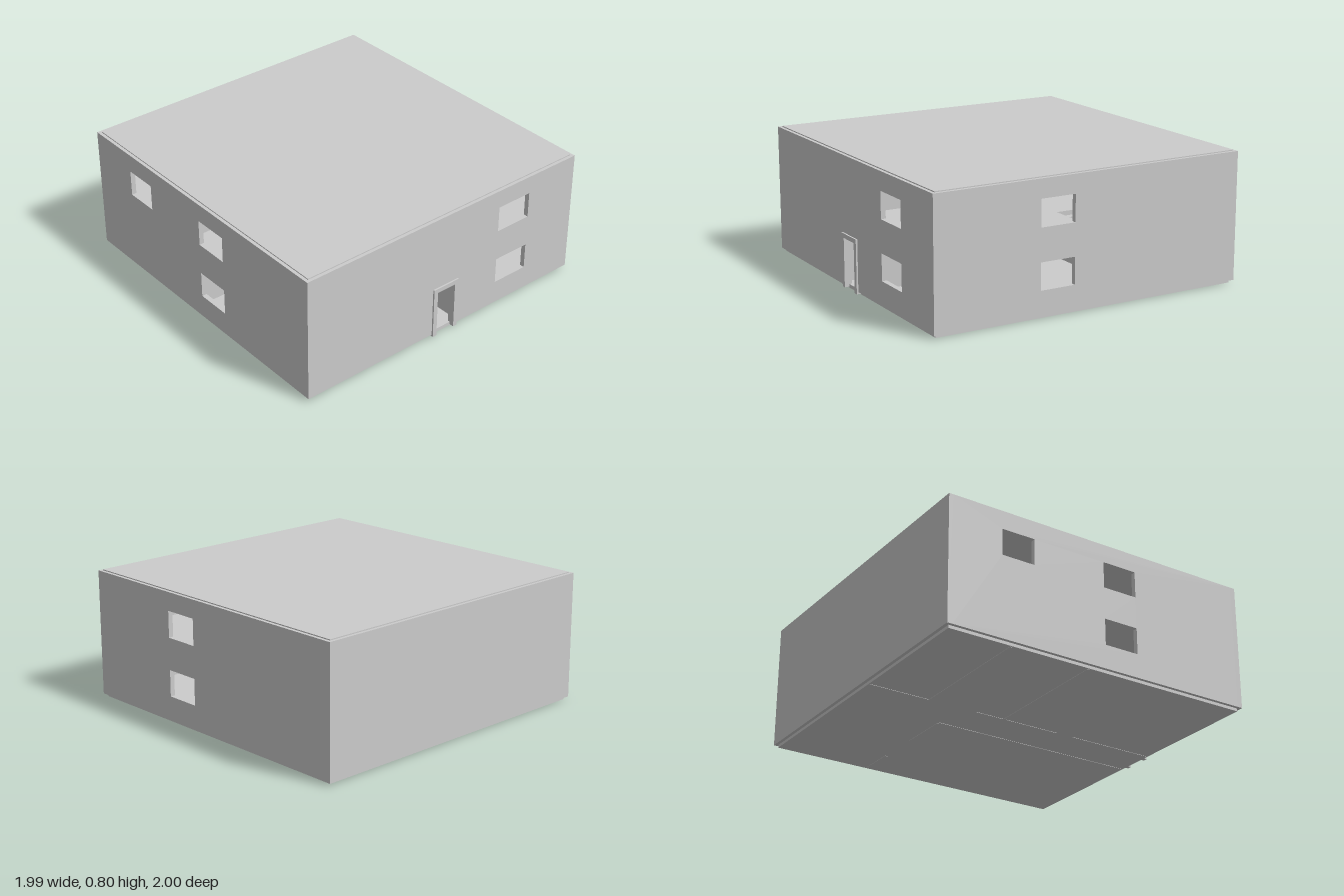
import * as THREE from 'three';

const material = new THREE.MeshStandardMaterial({ color: 0xcccccc, flatShading: true });

export function createModel() {
  const house = new THREE.Group();
  house.name = 'house';

  const add = (name, geometry, parent = house) => {
    const mesh = new THREE.Mesh(geometry, material);
    mesh.name = name;
    parent.add(mesh);
    return mesh;
  };

  // Box given by its lower and upper limits on each axis
  const block = (name, [x0, x1], [y0, y1], [z0, z1], parent) => {
    const mesh = add(name, new THREE.BoxGeometry(x1 - x0, y1 - y0, z1 - z0), parent);
    mesh.position.set((x0 + x1) / 2, (y0 + y1) / 2, (z0 + z1) / 2);
    return mesh;
  };

  // Upright wall along x or z, centred at "at" on the other axis.
  // doors: [start, end, top] cut from the bottom edge; windows: [start, end, bottom, top]
  const wall = (name, axis, [a, b], [y0, y1], at, t, { doors = [], windows = [] } = {}) => {
    const shape = new THREE.Shape();
    shape.moveTo(a, y0);
    for (const [s, e, top] of doors) {
      shape.lineTo(s, y0);
      shape.lineTo(s, top);
      shape.lineTo(e, top);
      shape.lineTo(e, y0);
    }
    shape.lineTo(b, y0);
    shape.lineTo(b, y1);
    shape.lineTo(a, y1);
    for (const [s, e, lo, hi] of windows) {
      const hole = new THREE.Path();
      hole.moveTo(s, lo);
      hole.lineTo(s, hi);
      hole.lineTo(e, hi);
      hole.lineTo(e, lo);
      shape.holes.push(hole);
    }
    const mesh = add(name, new THREE.ExtrudeGeometry(shape, { depth: t, bevelEnabled: false }));
    if (axis === 'x') mesh.position.z = at - t / 2;
    else {
      mesh.rotation.y = -Math.PI / 2;
      mesh.position.x = at + t / 2;
    }
    return mesh;
  };

  const W = 0.995, BACK = -1, FRONT = 0.99, T = 0.03;
  const LOW = [0.165, 0.325], HIGH = [0.52, 0.68], SHELL = [0.02, 0.792];

  // Outer shell
  wall('frontWall', 'x', [-W, W], SHELL, FRONT - T / 2, T, {
    doors: [[-0.067, 0.063, 0.305]],
    windows: [[0.395, 0.632, ...LOW], [0.395, 0.632, ...HIGH]],
  });
  wall('backWall', 'x', [-W, W], SHELL, BACK + T / 2, T);
  const sideSpan = [BACK + T, FRONT - T];
  wall('leftWall', 'z', sideSpan, SHELL, W - T / 2, T, {
    windows: [[0.11, 0.33, ...LOW], [0.11, 0.33, ...HIGH]],
  });
  wall('rightWall', 'z', sideSpan, SHELL, -W + T / 2, T, {
    windows: [[0.02, 0.24, ...LOW], [0.02, 0.24, ...HIGH], [-0.66, -0.45, ...HIGH]],
  });

  // Ground slab and roof, both slightly inset from the shell
  const insetX = [-0.975, 0.975], insetZ = [-0.98, 0.97];
  block('groundSlab', insetX, [0.002, 0.024], insetZ);
  block('roof', insetX, [0.77, 0.798], insetZ);

  // Upper floor, left open above the stairs
  const floorY = [0.395, 0.415], inX = [-W + T, W - T], inZ = [BACK + T, FRONT - T];
  const well = { x: 0.38, z0: -0.3, z1: -0.14 };
  block('upperFloorBack', inX, floorY, [inZ[0], well.z0]);
  block('upperFloorFront', inX, floorY, [well.z1, inZ[1]]);
  block('upperFloorMiddle', [inX[0], well.x], floorY, [well.z0, well.z1]);

  // Ground floor partitions
  const ground = [0, 0.395], t = 0.015, doorTop = 0.305;
  wall('hallRightPartition', 'z', inZ, ground, -0.135, t, {
    doors: [[-0.58, -0.27, doorTop], [0.29, 0.41, doorTop]],
  });
  wall('hallLeftPartition', 'z', [-0.37, inZ[1]], ground, 0.115, t);
  wall('backRoomPartition', 'x', [0.12, inX[1]], ground, -0.37, t, {
    doors: [[0.44, 0.73, doorTop]],
  });
  for (const z of [-0.585, -0.08]) wall('sideRoomPartition', 'x', [inX[0], -0.14], ground, z, t);

  // Upper floor partitions
  const upper = [0.415, 0.77], upperDoor = 0.7;
  wall('upperHallPartition', 'z', inZ, upper, -0.135, t, {
    doors: [[-0.4, -0.25, upperDoor], [0.29, 0.41, upperDoor]],
  });
  wall('upperSidePartition', 'x', [inX[0], -0.14], upper, -0.2, t);
  wall('upperBackPartition', 'x', [-0.13, 0.5], upper, -0.37, t, {
    doors: [[0.1, 0.25, upperDoor]],
  });
  wall('upperRoomPartition', 'z', [inZ[0], -0.37], upper, 0.5, t);

  // Straight stairs rising towards the hall
  const stairs = new THREE.Group();
  stairs.name = 'stairs';
  house.add(stairs);
  const steps = 14, x0 = 0.95, run = (x0 - well.x) / steps, rise = (floorY[1] - 0.024) / steps;
  for (let i = 0; i < steps; i++) {
    const top = 0.024 + rise * (i + 1);
    block('step', [x0 - run * (i + 1), x0 - run * i], [Math.max(0.024, top - 0.13), top],
      [well.z0, well.z1], stairs);
  }

  // Door frame: two posts and a header standing a little proud of the wall
  const frame = new THREE.Group();
  frame.name = 'doorFrame';
  house.add(frame);
  const frameZ = [FRONT - T - 0.005, 1];
  block('doorPost', [-0.095, -0.067], [0.008, 0.305], frameZ, frame);
  block('doorPost', [0.063, 0.091], [0.008, 0.305], frameZ, frame);
  block('doorHeader', [-0.095, 0.091], [0.305, 0.332], frameZ, frame);

  return house;
}
